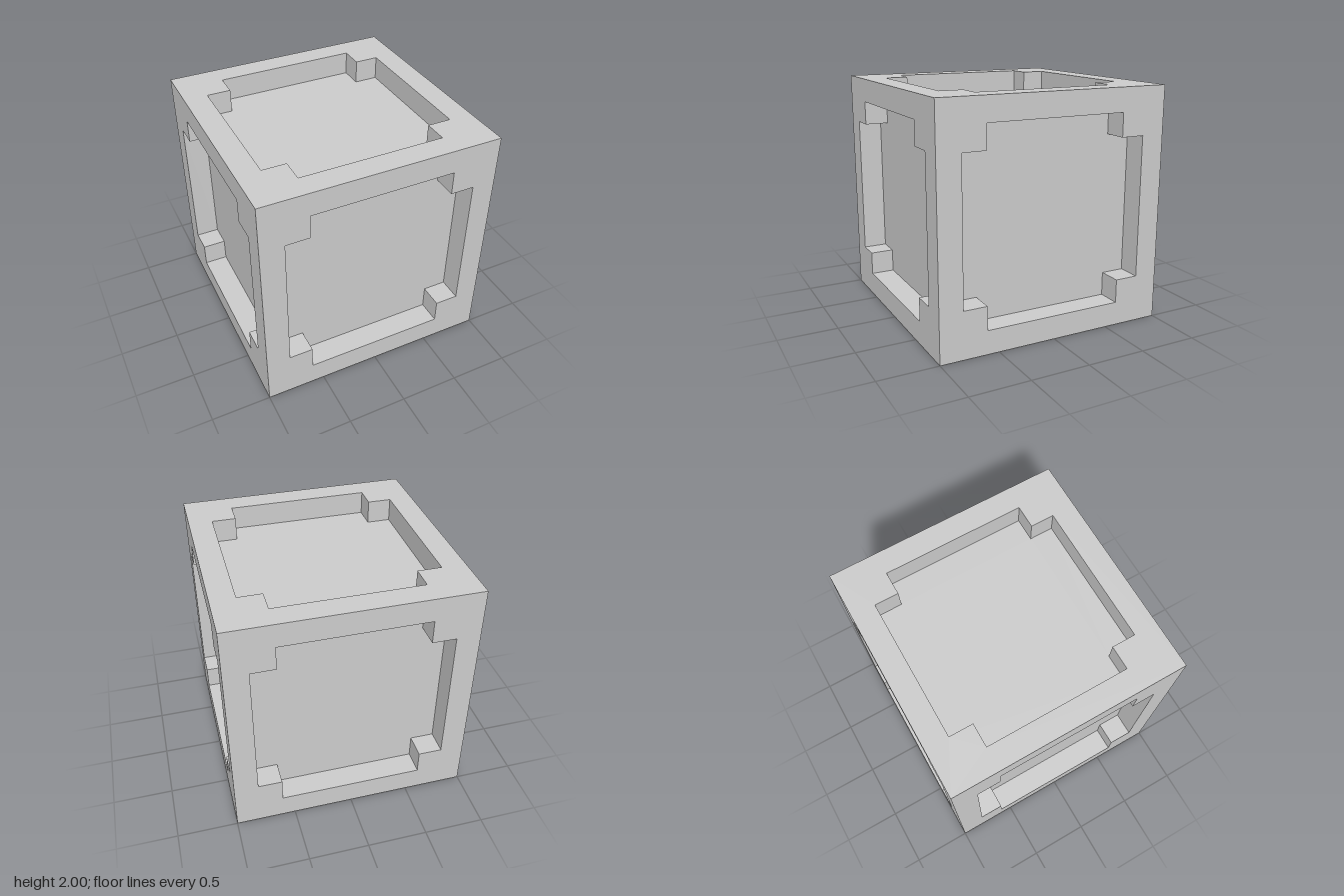
import * as THREE from 'three';

const HALF = 1, FLOOR = 0.8, NOTCH = 0.6;

// Recess outline: a square of half-size 0.8 with 0.2 notches at its corners, counter-clockwise
function recessOutline() {
  const points = [];
  for (let i = 0; i < 4; i++) {
    for (const [x, y] of [[FLOOR, -NOTCH], [FLOOR, NOTCH], [NOTCH, NOTCH]]) {
      const p = new THREE.Vector2(x, y);
      for (let k = 0; k < i; k++) p.set(-p.y, p.x);
      points.push(p);
    }
  }
  return points;
}

// Inward-facing walls from the rim down to the recess floor
function wallGeometry(outline) {
  const positions = [], index = [];
  outline.forEach((a, i) => {
    const b = outline[(i + 1) % outline.length], n = i * 4;
    positions.push(b.x, b.y, FLOOR, a.x, a.y, FLOOR, a.x, a.y, HALF, b.x, b.y, HALF);
    index.push(n, n + 1, n + 2, n, n + 2, n + 3);
  });
  const geometry = new THREE.BufferGeometry();
  geometry.setAttribute('position', new THREE.Float32BufferAttribute(positions, 3));
  geometry.setIndex(index);
  geometry.computeVertexNormals();
  return geometry;
}

export function createModel() {
  const model = new THREE.Group();
  model.name = 'recessedCube';
  const material = new THREE.MeshStandardMaterial({ color: 0xcccccc, flatShading: true });

  const outline = recessOutline();
  const rimShape = new THREE.Shape([[-1, -1], [1, -1], [1, 1], [-1, 1]]
    .map(([x, y]) => new THREE.Vector2(x * HALF, y * HALF)));
  rimShape.holes.push(new THREE.Path(outline));

  const parts = {
    Frame: new THREE.ShapeGeometry(rimShape).translate(0, 0, HALF),
    RecessWalls: wallGeometry(outline),
    Panel: new THREE.ShapeGeometry(new THREE.Shape(outline)).translate(0, 0, FLOOR),
  };

  // The same recessed face on all six sides
  const sides = {
    front: [0, 0], left: [0, Math.PI / 2], back: [0, Math.PI], right: [0, -Math.PI / 2],
    top: [-Math.PI / 2, 0], bottom: [Math.PI / 2, 0],
  };
  for (const [side, [rx, ry]] of Object.entries(sides)) {
    const face = new THREE.Group();
    face.name = side + 'Face';
    for (const [part, geometry] of Object.entries(parts)) {
      const mesh = new THREE.Mesh(geometry, material);
      mesh.name = side + part;
      face.add(mesh);
    }
    face.rotation.set(rx, ry, 0);
    face.position.y = HALF;
    model.add(face);
  }
  return model;
}
